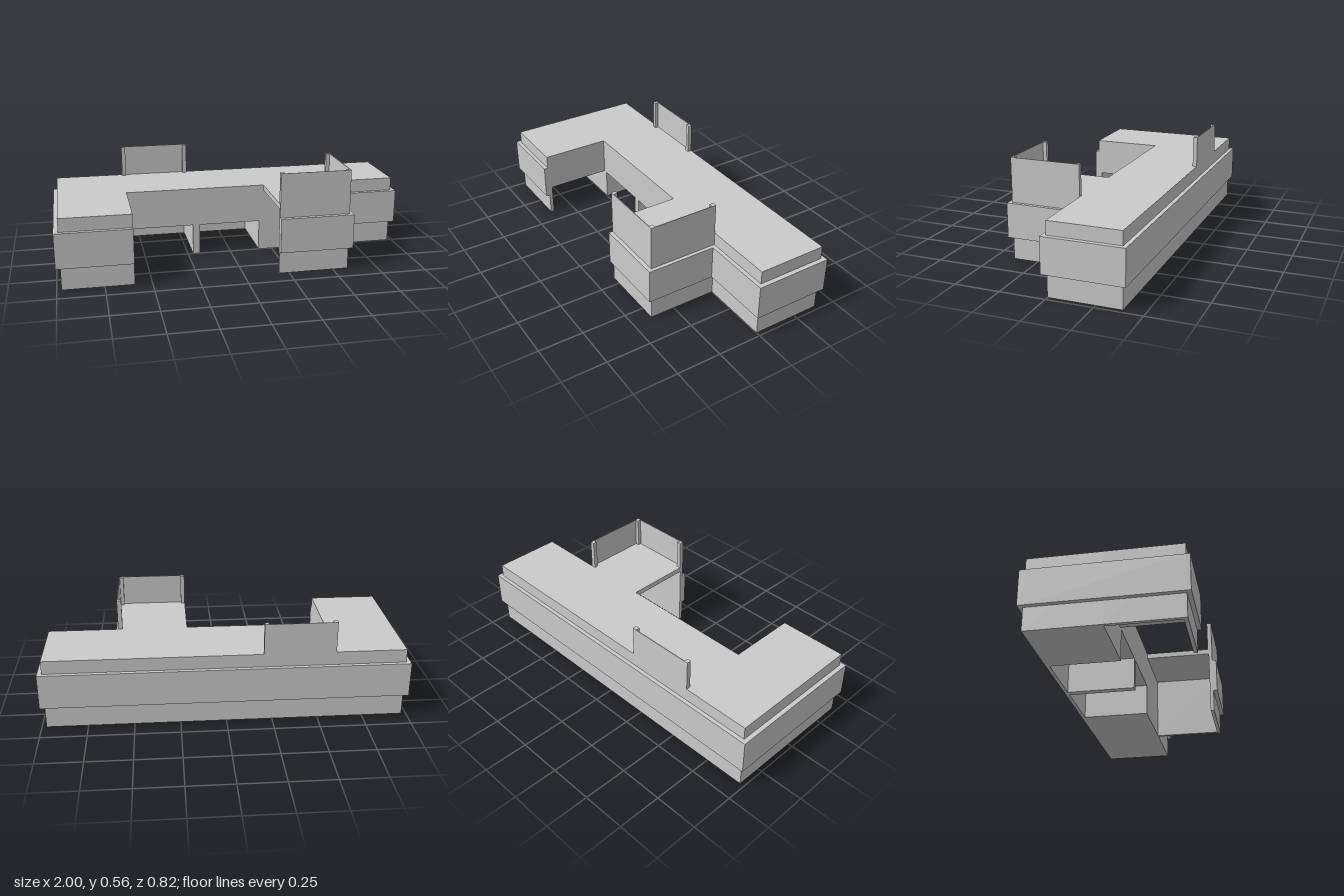
import * as THREE from 'three';

const H = 0.392;      // worktop height
const KNEE = 0.175;   // top of the knee spaces
const WALL = 0.02;    // thin wall thickness
const X = 0.975, Z = 0.39;                   // body half extents
const BX = 1, BZ = 0.4125;                   // band half extents
const B0 = 0.125, B1 = 0.318;                // band bottom and top
const TOP = 0.564;    // top of raised screens
const WX = -0.593;    // inner side of the wing
const L = 0.195, R = 0.585;                  // sides of the front counter

export function createModel() {
  const root = new THREE.Group();
  root.name = 'receptionDesk';
  const mat = new THREE.MeshStandardMaterial({ color: 0xcccccc });

  const add = (name, geo) => {
    const mesh = new THREE.Mesh(geo, mat);
    mesh.name = name;
    root.add(mesh);
  };
  // Box given by its limits on each axis
  const box = (name, x0, x1, y0, y1, z0, z1) => add(name,
    new THREE.BoxGeometry(x1 - x0, y1 - y0, z1 - z0)
      .translate((x0 + x1) / 2, (y0 + y1) / 2, (z0 + z1) / 2));
  // Front profile pushed along z
  const prism = (name, pts, z0, z1) => add(name,
    new THREE.ExtrudeGeometry(new THREE.Shape(pts.map(p => new THREE.Vector2(...p))),
      { depth: z1 - z0, bevelEnabled: false }).translate(0, 0, z0));

  // Long rear desk with two knee spaces, closed at the back
  prism('rearDesk', [
    [-X, 0], [-0.57, 0], [-0.57, KNEE], [-0.22, KNEE], [-0.22, 0],
    [-0.18, 0], [-0.18, KNEE], [0.17, KNEE], [0.17, 0], [X, 0], [X, H], [-X, H],
  ], -Z + WALL, 0);
  box('rearWall', -X, X, 0, H, -Z, -Z + WALL);

  // Wing with a knee space open to the inner side
  prism('wing', [
    [-X, 0], [-X + WALL, 0], [-X + WALL, KNEE], [WX, KNEE], [WX, H], [-X, H],
  ], 0, Z - WALL);
  box('wingFrontWall', -X, WX, 0, H, Z - WALL, Z);

  // Hollow front counter, open at the inner side and below
  box('counterTop', L, R - WALL, H - 0.03, H, 0, Z - WALL);
  box('counterFrontWall', L, R, 0, H, Z - WALL, Z);
  box('counterSideWall', R - WALL, R, 0, H, 0, Z - WALL);

  // Projecting band around the outer sides
  const band = (name, x0, x1, z0, z1) => box(name, x0, x1, B0, B1, z0, z1);
  const step = BX - X;
  band('bandRear', -BX, BX, -BZ, -Z);
  band('bandRightEnd', -BX, -X, -Z, Z);
  band('bandWingFront', -BX, WX, Z, BZ);
  band('bandLeftEnd', X, BX, -Z, 0);
  band('bandRearDeskFront', R + WALL, BX, 0, 0.0225);
  band('bandCounterSide', R, R + WALL, 0, Z);
  band('bandCounterFront', L, R + WALL, Z, BZ);

  // Raised screens: thin panels with square posts behind them
  const T = 0.004;
  box('rearScreen', -0.59, -0.2, H, TOP, -Z, -Z + T);
  box('counterFrontScreen', L, R, H, TOP, Z - T, Z);
  box('counterSideScreen', R - T, R, H, TOP, 0, Z - T);
  const post = (x, z) => box('screenPost', x, x + step - 0.002, H, TOP, z, z + step - 0.002);
  post(-0.59, -Z + 0.001);
  post(-0.223, -Z + 0.001);
  post(L, Z - step);
  post(R - step, Z - step);
  post(R - step, 0);

  return root;
}
